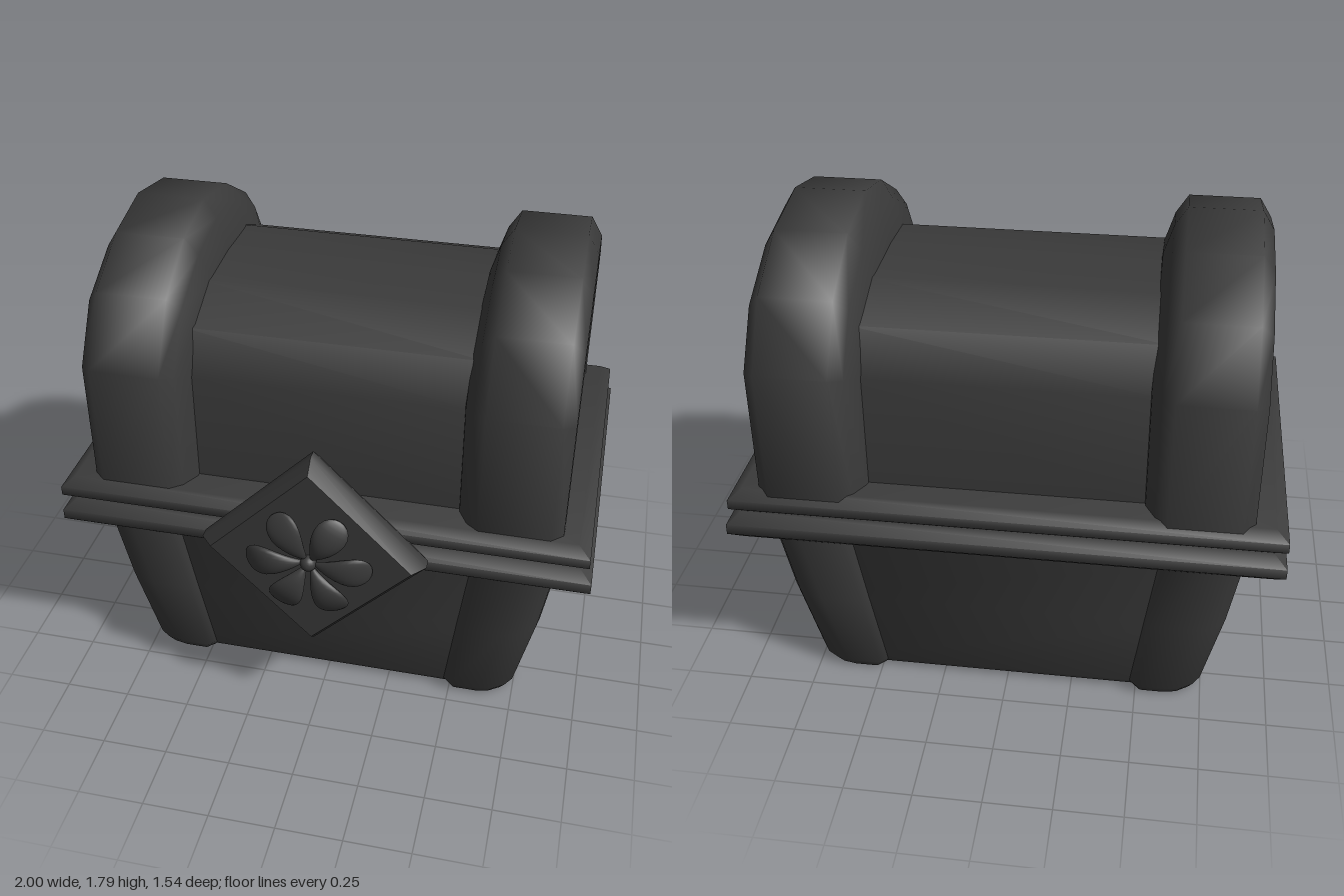
import * as THREE from 'three';
import { toCreasedNormals } from 'three/addons/utils/BufferGeometryUtils.js';

const material = new THREE.MeshStandardMaterial({ color: 0x3a3a3a });
const ZC = -0.1; // depth centre of the chest, behind the medallion

// Closed solid through a row of equal-length rings, capped at both ends.
function loft(rings, crease = 1.1) {
  const n = rings[0].length;
  const pos = rings.flat(2);
  const idx = [];
  for (let r = 0; r < rings.length - 1; r++) {
    for (let i = 0; i < n; i++) {
      const a = r * n + i, b = r * n + (i + 1) % n;
      idx.push(a, b, a + n, b, b + n, a + n);
    }
  }
  const cap = (ring, base, flip) => {
    const c = pos.length / 3;
    for (let k = 0; k < 3; k++) pos.push(ring.reduce((s, p) => s + p[k], 0) / n);
    for (let i = 0; i < n; i++) {
      const a = base + i, b = base + (i + 1) % n;
      idx.push(...(flip ? [c, b, a] : [c, a, b]));
    }
  };
  cap(rings[0], 0, true);
  cap(rings[rings.length - 1], (rings.length - 1) * n, false);
  // Turn the faces outward when the enclosed volume comes out negative.
  const v = (i) => new THREE.Vector3().fromArray(pos, i * 3);
  let volume = 0;
  for (let i = 0; i < idx.length; i += 3) {
    volume += v(idx[i]).dot(v(idx[i + 1]).cross(v(idx[i + 2])));
  }
  if (volume < 0) idx.reverse();
  const g = new THREE.BufferGeometry();
  g.setAttribute('position', new THREE.Float32BufferAttribute(pos, 3));
  g.setIndex(idx);
  return toCreasedNormals(g, crease);
}

// Horizontal rectangle with corners cut by c.
const cutRect = (hx, hz, y, c) => [
  [hx - c, hz], [hx, hz - c], [hx, c - hz], [hx - c, -hz],
  [c - hx, -hz], [-hx, c - hz], [-hx, hz - c], [c - hx, hz],
].map(([x, z]) => [x, y, ZC + z]);

const rect = (hx, hz, y, cx) =>
  [[hx, hz], [hx, -hz], [-hx, -hz], [-hx, hz]].map(([x, z]) => [cx + x, y, ZC + z]);

// Corner post outline with a rounded outer corner.
function postRing(sx, sz, y, inner, outer, depth) {
  const r = 0.13;
  const pts = [[inner, depth - r], [inner, depth - 0.03], [inner + 0.03, depth]];
  for (let i = 0; i <= 4; i++) {
    const a = Math.PI / 2 * (1 - i / 4);
    pts.push([outer - r + r * Math.cos(a), depth - r + r * Math.sin(a)]);
  }
  return pts.map(([x, z]) => [sx * x, y, ZC + sz * z]);
}

// Lid outline as [z from centre, y], moved inward along its normals.
const LID_Z = -0.11;
const LID = [[0.63, 0.85], [0.63, 1.37], [0.49, 1.61], [0.26, 1.74], [0.02, 1.79],
  [-0.25, 1.74], [-0.49, 1.6], [-0.63, 1.37], [-0.63, 0.85]];
const lidRing = (x, dz, dy) => LID.map(([z, y], i) => {
  if (i === 0 || i === LID.length - 1) return [x, y, LID_Z + z - Math.sign(z) * dz];
  const [a, b] = [LID[i - 1], LID[i + 1]];
  const n = new THREE.Vector2(b[1] - a[1], a[0] - b[0]).normalize();
  // The straight walls keep the full side inset up to the shoulder.
  const side = Math.abs(z) === 0.63 ? Math.sign(z) : n.x;
  return [x, y - dy * n.y, LID_Z + z - dz * side];
});

// Flatter outline of the barrel between the bands.
const BARREL = [[0.515, 0.85], [0.515, 1.32], [0.44, 1.48], [0.24, 1.572], [0.02, 1.59],
  [-0.24, 1.575], [-0.44, 1.485], [-0.515, 1.32], [-0.515, 0.85]];

// Teardrop petal pointing along +x and arching forward.
function petalGeometry() {
  const g = new THREE.SphereGeometry(1, 20, 14);
  g.rotateZ(-Math.PI / 2);
  const p = g.attributes.position;
  for (let i = 0; i < p.count; i++) {
    const u = p.getX(i);
    p.setXYZ(i, 0.125 + 0.108 * u, p.getY(i) * 0.079 * (0.66 + 0.46 * u),
      0.033 - 0.03 * u * u + p.getZ(i) * 0.021);
  }
  g.computeVertexNormals();
  return g;
}

export function createModel() {
  const model = new THREE.Group();
  model.name = 'chest';
  const add = (name, geometry, parent = model) => {
    const mesh = new THREE.Mesh(geometry, material);
    mesh.name = name;
    parent.add(mesh);
    return mesh;
  };

  // Tapered body with cut corners, hollow underneath
  add('body', loft([
    cutRect(0.878, 0.595, 0.7, 0.1),
    cutRect(0.828, 0.565, 0.38, 0.1),
    cutRect(0.757, 0.52, 0.04, 0.1),
    cutRect(0.74, 0.505, 0.015, 0.1),
    cutRect(0.705, 0.475, 0.015, 0.1),
    cutRect(0.82, 0.545, 0.6, 0.1),
  ], 0.85));

  // Floor block set inside the hollow
  const floor = add('floor', new THREE.BoxGeometry(1.06, 0.3, 1.02));
  floor.position.set(0, 0.51, ZC);

  // Corner posts: [y, inner x, outer x, outer half depth]
  const post = [[0.7, 0.56, 0.88, 0.622], [0.38, 0.515, 0.83, 0.59],
    [0.04, 0.475, 0.757, 0.548], [0.005, 0.49, 0.738, 0.53], [0, 0.5, 0.72, 0.51]];
  for (const sx of [1, -1]) {
    for (const sz of [1, -1]) {
      add('cornerPost', loft(post.map(([y, xi, xo, d]) => postRing(sx, sz, y, xi, xo, d))));
    }
  }

  // Two bevelled rims where lid and body meet
  const rim = (name, y, h, hx, hz, cx) => add(name, loft([
    rect(hx - 0.045, hz - 0.04, y, cx),
    rect(hx, hz, y + h * 0.32, cx),
    rect(hx, hz, y + h * 0.68, cx),
    rect(hx - 0.045, hz - 0.04, y + h, cx),
  ]));
  rim('lowerRim', 0.68, 0.11, 1, 0.668, 0);
  rim('upperRim', 0.79, 0.1, 0.992, 0.66, -0.006);

  // Rounded lid barrel between the end bands
  add('lidBarrel', loft([-0.55, 0.55].map((x) => BARREL.map(([z, y]) => [x, y, LID_Z + z]))));

  // Thick arched end bands with a recessed end panel: [x, side inset, top inset]
  const band = [[0.495, 0.13, 0.22], [0.5, 0.1, 0.18], [0.535, 0.035, 0.07], [0.58, 0, 0],
    [0.84, 0, 0], [0.883, 0.04, 0.07], [0.885, 0.09, 0.12], [0.87, 0.115, 0.145],
    [0.845, 0.12, 0.15]];
  for (const s of [1, -1]) {
    add('lidBand', loft(band.map(([x, dz, dy]) => lidRing(s * x, dz, dy))));
  }

  // Diamond medallion on the front
  const clasp = new THREE.Group();
  clasp.name = 'clasp';
  clasp.position.set(0.007, 0.805, 0.64);
  model.add(clasp);
  const diamond = (r, z) => [[r, 0, z], [0, r, z], [-r, 0, z], [0, -r, z]];
  add('diamondPlate', loft([diamond(0.37, -0.07), diamond(0.415, -0.02),
    diamond(0.415, 0.02), diamond(0.37, 0.07)], 0.65), clasp);

  // Six-petal flower with a small centre bead
  const petal = petalGeometry();
  for (let i = 0; i < 6; i++) {
    const mesh = add('petal', petal, clasp);
    mesh.position.z = 0.076;
    mesh.rotation.z = i * Math.PI / 3;
  }
  add('flowerCentre', new THREE.SphereGeometry(0.03, 16, 12), clasp).position.z = 0.085;

  return model;
}
